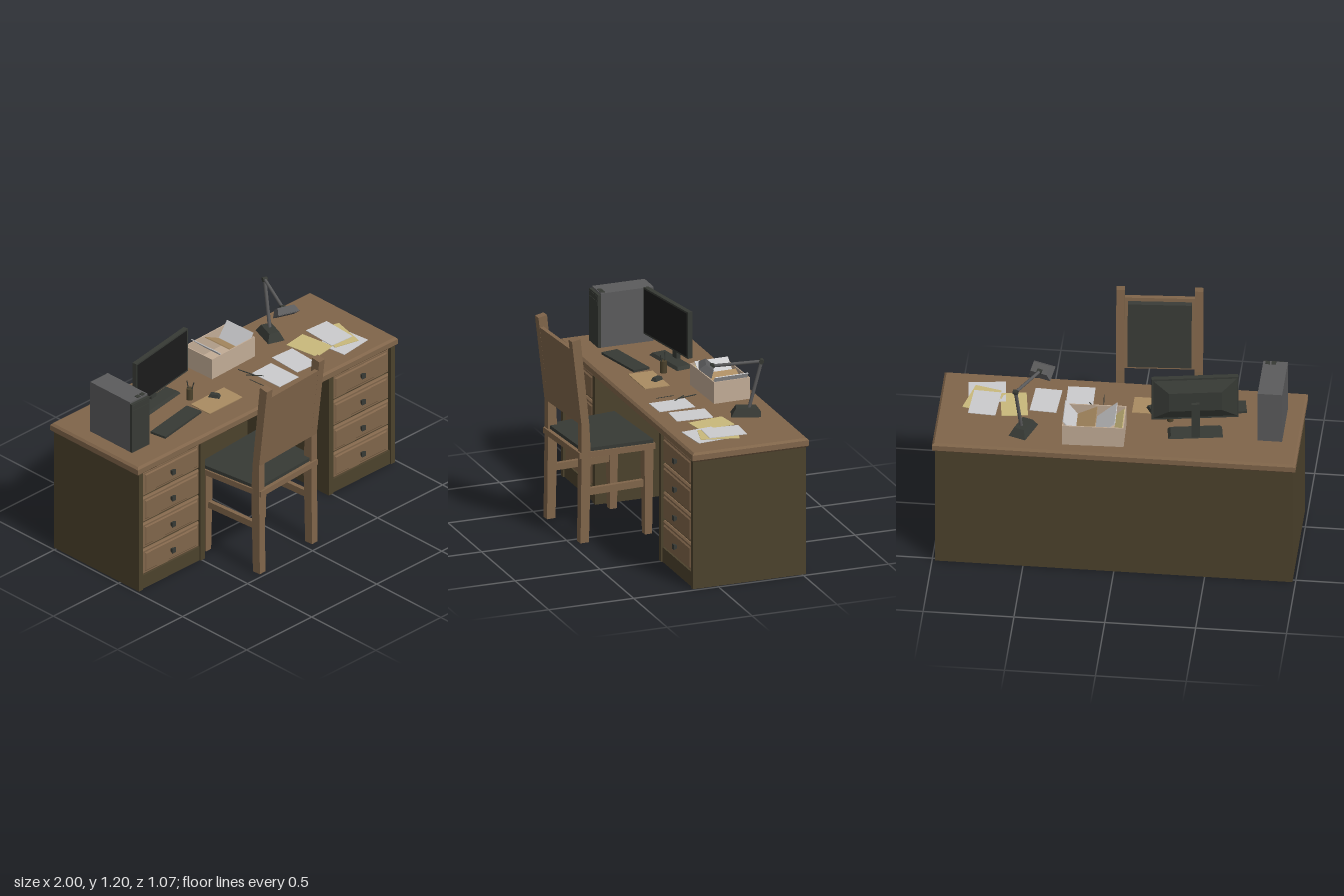
import * as THREE from 'three';

const mat = (name, color) => {
  const m = new THREE.MeshStandardMaterial({ color });
  m.name = name;
  return m;
};

// Box whose top may be smaller than its bottom, centred
function frustum(wTop, dTop, wBot, dBot, h) {
  const g = new THREE.BoxGeometry(1, h, 1);
  const p = g.attributes.position;
  for (let i = 0; i < p.count; i++) {
    const top = p.getY(i) > 0;
    p.setX(i, p.getX(i) * (top ? wTop : wBot));
    p.setZ(i, p.getZ(i) * (top ? dTop : dBot));
  }
  g.computeVertexNormals();
  return g;
}

// Slab in the xy plane with chamfered edges all round
function chamferSlab(w, h, d, b) {
  const x = w / 2 - b, y = h / 2 - b;
  const s = new THREE.Shape([[-x, -y], [x, -y], [x, y], [-x, y]].map(p => new THREE.Vector2(...p)));
  const g = new THREE.ExtrudeGeometry(s, { depth: d - 2 * b, bevelEnabled: true, bevelSize: b, bevelThickness: b, bevelSegments: 1 });
  return g.center();
}

// Side profile of [z, y] points extruded along x, centred on x = 0
function sideProfile(points, width) {
  const s = new THREE.Shape(points.map(([z, y]) => new THREE.Vector2(-z, y)));
  const g = new THREE.ExtrudeGeometry(s, { depth: width, bevelEnabled: false });
  return g.translate(0, 0, -width / 2).rotateY(Math.PI / 2);
}

// Plan outline of [x, z] points extruded upward from y = 0
function planProfile(points, height) {
  const s = new THREE.Shape(points.map(([x, z]) => new THREE.Vector2(x, -z)));
  return new THREE.ExtrudeGeometry(s, { depth: height, bevelEnabled: false }).rotateX(-Math.PI / 2);
}

function add(parent, name, geo, material, x = 0, y = 0, z = 0, ry = 0) {
  const m = new THREE.Mesh(geo, material);
  m.name = name;
  m.position.set(x, y, z);
  m.rotation.y = ry;
  parent.add(m);
  return m;
}

function group(parent, name, x = 0, y = 0, z = 0, ry = 0) {
  const g = new THREE.Group();
  g.name = name;
  g.position.set(x, y, z);
  g.rotation.y = ry;
  parent.add(g);
  return g;
}

function rod(parent, name, a, b, r, material) {
  const from = new THREE.Vector3(...a), to = new THREE.Vector3(...b);
  const m = add(parent, name, new THREE.CylinderGeometry(r, r, from.distanceTo(to), 8), material);
  m.position.copy(from).lerp(to, 0.5);
  m.quaternion.setFromUnitVectors(new THREE.Vector3(0, 1, 0), to.sub(from).normalize());
}

const box = (w, h, d) => new THREE.BoxGeometry(w, h, d);

export function createModel() {
  const root = new THREE.Group();
  root.name = 'officeDesk';
  const wood = mat('wood', 0x80654a), darkWood = mat('darkWood', 0x4c422c);
  const dark = mat('darkPlastic', 0x373a35), grey = mat('greyMetal', 0x5b5b5c);
  const black = mat('screenBlack', 0x1b1b1b), white = mat('paperWhite', 0xcbcbcd);
  const manila = mat('manila', 0xc9b97c), card = mat('boxCard', 0xc2ac96);
  const tan = mat('envelopeTan', 0xaa8c62), brown = mat('seatUnderside', 0x4d382f);
  const TOP = 0.795;

  // Desk top, back panel and two hollow pedestals
  const desk = group(root, 'desk');
  add(desk, 'deskTop', chamferSlab(2, 0.685, 0.055, 0.012).rotateX(-Math.PI / 2), wood, 0, 0.7675, -0.19);
  add(desk, 'backPanel', box(1.96, 0.742, 0.03), darkWood, 0, 0.371, -0.505);
  for (const s of [-1, 1]) {
    const ped = group(desk, s < 0 ? 'rightPedestal' : 'leftPedestal');
    add(ped, 'outerPanel', box(0.03, 0.742, 0.665), darkWood, s * 0.968, 0.371, -0.1875);
    add(ped, 'innerPanel', box(0.035, 0.742, 0.665), darkWood, s * 0.493, 0.371, -0.1875);
    add(ped, 'kickBoard', box(0.45, 0.085, 0.03), darkWood, s * 0.73, 0.0425, 0.122);
    add(ped, 'frontFrame', box(0.45, 0.662, 0.02), darkWood, s * 0.73, 0.411, 0.11);
    add(ped, 'drawerBoxes', box(0.42, 0.63, 0.57), wood, s * 0.73, 0.41, -0.19);
    for (let i = 0; i < 4; i++) {
      const y = 0.164 + i * 0.166;
      add(ped, 'drawerFront', chamferSlab(0.44, 0.156, 0.03, 0.008), wood, s * 0.73, y, 0.12);
      add(ped, 'drawerPanel', chamferSlab(0.4, 0.12, 0.02, 0.007), wood, s * 0.73, y, 0.132);
      add(ped, 'knob', frustum(0.03, 0.03, 0.016, 0.016, 0.022).rotateX(Math.PI / 2), dark, s * 0.73, y, 0.151);
    }
  }

  // Chair, facing the desk and turned slightly
  const chair = group(root, 'chair', -0.165, 0, 0.25, 0.065);
  const post = [[0.167, 0.005], [0.218, 0.005], [0.212, 0.5], [0.212, 0.69], [0.27, 1.185], [0.218, 1.195], [0.165, 0.69], [0.155, 0.5]];
  for (const s of [-1, 1]) {
    add(chair, 'backLegAndPost', sideProfile(post, 0.046), wood, s * 0.215);
    add(chair, 'frontLeg', frustum(0.055, 0.055, 0.042, 0.042, 0.5), wood, s * 0.225, 0.25, -0.19);
    add(chair, 'sideStretcher', box(0.025, 0.04, 0.37), wood, s * 0.22, 0.295, -0.01);
  }
  const outline = (back, front, zb, zf) => [[-front, zf], [front, zf], [back, zb], [-back, zb]];
  add(chair, 'seatFrame', planProfile(outline(0.235, 0.262, 0.222, -0.225), 0.034), wood, 0, 0.495);
  add(chair, 'seatUnderside', planProfile(outline(0.19, 0.2, 0.15, -0.16), 0.006), brown, 0, 0.49);
  add(chair, 'seatCushion', planProfile(outline(0.225, 0.252, 0.2, -0.218), 0.02), dark, 0, 0.529);
  add(chair, 'backBoard', sideProfile([[0.188, 0.69], [0.212, 0.69], [0.263, 1.13], [0.238, 1.13]], 0.385), wood);
  add(chair, 'backCushion', sideProfile([[0.17, 0.71], [0.19, 0.705], [0.237, 1.11], [0.216, 1.1]], 0.35), dark);

  // Computer tower
  const tower = group(root, 'computerTower', -0.8375, TOP, -0.1525);
  add(tower, 'case', box(0.135, 0.315, 0.31), grey, 0, 0.1575, -0.008);
  add(tower, 'frontPanel', box(0.135, 0.305, 0.016), dark, 0, 0.1525, 0.155);
  for (const y of [0.255, 0.285]) add(tower, 'driveBay', box(0.122, 0.022, 0.006), dark, 0, y, 0.162);
  for (const x of [0.008, 0.042]) add(tower, 'topButton', box(0.025, 0.004, 0.025), dark, x, 0.316, 0.13);

  // Monitor
  const monitor = group(root, 'monitor', -0.42, TOP, -0.262, 0.16);
  add(monitor, 'monitorCase', box(0.475, 0.27, 0.028), dark, 0, 0.23, 0);
  add(monitor, 'screen', box(0.455, 0.25, 0.004), black, 0, 0.231, 0.014);
  add(monitor, 'rearBulge', frustum(0.29, 0.12, 0.46, 0.25, 0.035).rotateX(-Math.PI / 2), dark, 0, 0.23, -0.031);
  add(monitor, 'standNeck', box(0.045, 0.22, 0.025), dark, 0, 0.115, -0.055);
  add(monitor, 'standBase', frustum(0.27, 0.08, 0.3, 0.1, 0.018), dark, 0, 0.009, -0.02);

  // Keyboard, mouse and mat
  add(root, 'keyboard', box(0.34, 0.013, 0.1), dark, -0.51, TOP + 0.0065, -0.047, 0.17);
  add(root, 'deskMat', box(0.255, 0.004, 0.145), tan, -0.187, TOP + 0.002, -0.058);
  add(root, 'mouse', frustum(0.025, 0.045, 0.036, 0.065, 0.02), dark, -0.165, TOP + 0.013, -0.097, 0.5);

  // Pen cup and loose pens
  const cup = group(root, 'penCup', -0.275, TOP, -0.178);
  add(cup, 'cup', new THREE.CylinderGeometry(0.019, 0.019, 0.068, 10), darkWood, 0, 0.034, 0);
  rod(cup, 'pen', [0, 0.03, 0.005], [0.01, 0.11, 0.022], 0.003, dark);
  rod(cup, 'pen', [0, 0.03, -0.005], [-0.008, 0.115, -0.014], 0.003, dark);
  rod(root, 'loosePen', [0.13, 0.799, -0.21], [0.15, 0.799, -0.11], 0.003, dark);
  rod(root, 'loosePen', [0.12, 0.799, -0.14], [0.18, 0.799, -0.065], 0.003, dark);
  rod(root, 'loosePen', [0.1, 0.799, -0.09], [0.108, 0.799, 0.015], 0.002, dark);

  // Open file box with leaning folders
  const files = group(root, 'fileBox', 0.125, TOP, -0.352, 0.03);
  for (const s of [-1, 1]) {
    add(files, 'longWall', box(0.335, 0.125, 0.006), card, 0, 0.0625, s * 0.103);
    add(files, 'endWall', box(0.006, 0.125, 0.212), card, s * 0.166, 0.0625, 0);
  }
  add(files, 'boxFloor', box(0.33, 0.006, 0.21), card, 0, 0.003, 0);
  // Each sheet runs from (x0, y0) to (x1, y1)
  [[-0.16, 0.11, -0.115, 0.07, manila], [-0.12, 0.15, -0.01, 0.05, white],
    [-0.01, 0.115, 0.1, 0.06, tan], [0.09, 0.05, 0.165, 0.15, white]].forEach(([x0, y0, x1, y1, m]) => {
    const sheet = add(files, 'folder', box(Math.hypot(x1 - x0, y1 - y0), 0.005, 0.198), m, (x0 + x1) / 2, (y0 + y1) / 2, 0);
    sheet.rotation.z = Math.atan2(y1 - y0, x1 - x0);
  });

  // Papers: x, z, width, depth, turn, layer, colour
  [[0.235, -0.028, 0.15, 0.212, 0.02, 0, white], [0.42, -0.065, 0.148, 0.21, -0.06, 0, white],
    [0.59, -0.12, 0.145, 0.21, 0.14, 0, manila], [0.748, -0.02, 0.205, 0.185, 0.11, 0, white],
    [0.77, -0.09, 0.15, 0.215, -0.25, 1, manila], [0.75, -0.13, 0.152, 0.215, -0.06, 2, white],
  ].forEach(([x, z, w, d, ry, layer, m]) => add(root, 'paper', box(w, 0.003, d), m, x, TOP + 0.0015 + layer * 0.003, z, ry));

  // Desk lamp
  const lamp = group(root, 'deskLamp');
  add(lamp, 'lampBase', frustum(0.06, 0.11, 0.1, 0.165, 0.045), dark, 0.515, TOP + 0.0225, -0.352, -0.35);
  const foot = [0.525, 0.83, -0.365], elbow = [0.55, 1.105, -0.43], neck = [0.443, 1.075, -0.182];
  rod(lamp, 'lowerArm', foot, elbow, 0.01, grey);
  rod(lamp, 'upperArm', elbow, neck, 0.009, grey);
  for (const p of [elbow, neck]) {
    add(lamp, 'joint', new THREE.CylinderGeometry(0.014, 0.014, 0.026, 10).rotateZ(Math.PI / 2), dark, ...p, -0.35);
  }
  const head = group(lamp, 'lampHead', 0.437, 1.068, -0.155);
  head.rotation.set(-0.67, -0.35, 0, 'YXZ');
  add(head, 'shade', frustum(0.1, 0.055, 0.13, 0.088, 0.042), grey);
  add(head, 'lightPanel', box(0.11, 0.004, 0.068), grey, 0, -0.022, 0);

  return root;
}
